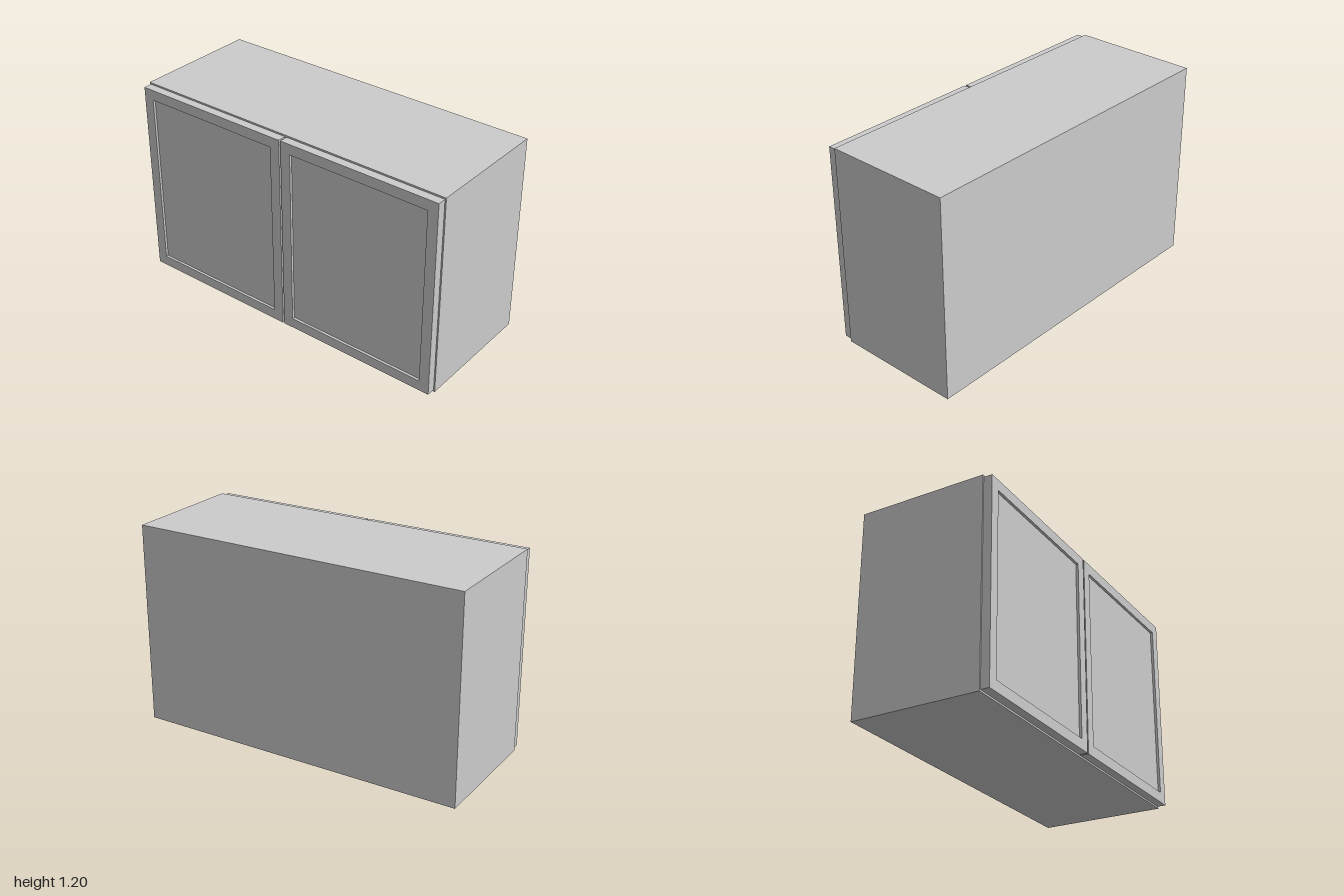
import * as THREE from 'three';

const W = 2, H = 1.2, T = 0.048;
const BACK = -0.4, CARCASS_FRONT = 0.35, DOOR_FRONT = 0.4;

export function createModel() {
  const cabinet = new THREE.Group();
  cabinet.name = 'wallCabinet';
  const material = new THREE.MeshStandardMaterial({ color: 0xcccccc });

  // Box given by its lower and upper corners
  function box(name, [x0, y0, z0], [x1, y1, z1], parent = cabinet) {
    const mesh = new THREE.Mesh(new THREE.BoxGeometry(x1 - x0, y1 - y0, z1 - z0), material);
    mesh.position.set((x0 + x1) / 2, (y0 + y1) / 2, (z0 + z1) / 2);
    mesh.name = name;
    parent.add(mesh);
  }

  // Carcass: sides enclose the top, bottom, back and shelf
  const inner = W / 2 - T, backFace = BACK + 0.02;
  box('leftSide', [inner, 0, BACK], [W / 2, H, CARCASS_FRONT]);
  box('rightSide', [-W / 2, 0, BACK], [-inner, H, CARCASS_FRONT]);
  box('backPanel', [-inner, 0, BACK], [inner, H, backFace]);
  box('topPanel', [-inner, H - T, backFace], [inner, H, CARCASS_FRONT]);
  box('bottomPanel', [-inner, 0, backFace], [inner, T, CARCASS_FRONT]);
  box('shelf', [-inner, 0.58, backFace], [inner, 0.58 + T, CARCASS_FRONT]);

  // Doors: a frame with an opening, around a recessed panel
  const x0 = 0.005, x1 = 0.992, y0 = 0.01, y1 = 1.19, rail = 0.062;
  const rect = (Type, ax, ay, bx, by) => new Type([
    new THREE.Vector2(ax, ay), new THREE.Vector2(bx, ay),
    new THREE.Vector2(bx, by), new THREE.Vector2(ax, by),
  ]);
  for (const side of [1, -1]) {
    const door = new THREE.Group();
    door.name = side > 0 ? 'leftDoor' : 'rightDoor';
    const a = side > 0 ? x0 : -x1, b = side > 0 ? x1 : -x0;
    const outline = rect(THREE.Shape, a, y0, b, y1);
    outline.holes.push(rect(THREE.Path, a + rail, y0 + rail, b - rail, y1 - rail));
    const frame = new THREE.Mesh(new THREE.ExtrudeGeometry(outline, {
      depth: DOOR_FRONT - CARCASS_FRONT, bevelEnabled: false,
    }), material);
    frame.position.z = CARCASS_FRONT;
    frame.name = 'doorFrame';
    door.add(frame);
    box('doorPanel', [a + rail, y0 + rail, CARCASS_FRONT + 0.015],
      [b - rail, y1 - rail, DOOR_FRONT - 0.015], door);
    cabinet.add(door);
  }
  return cabinet;
}
